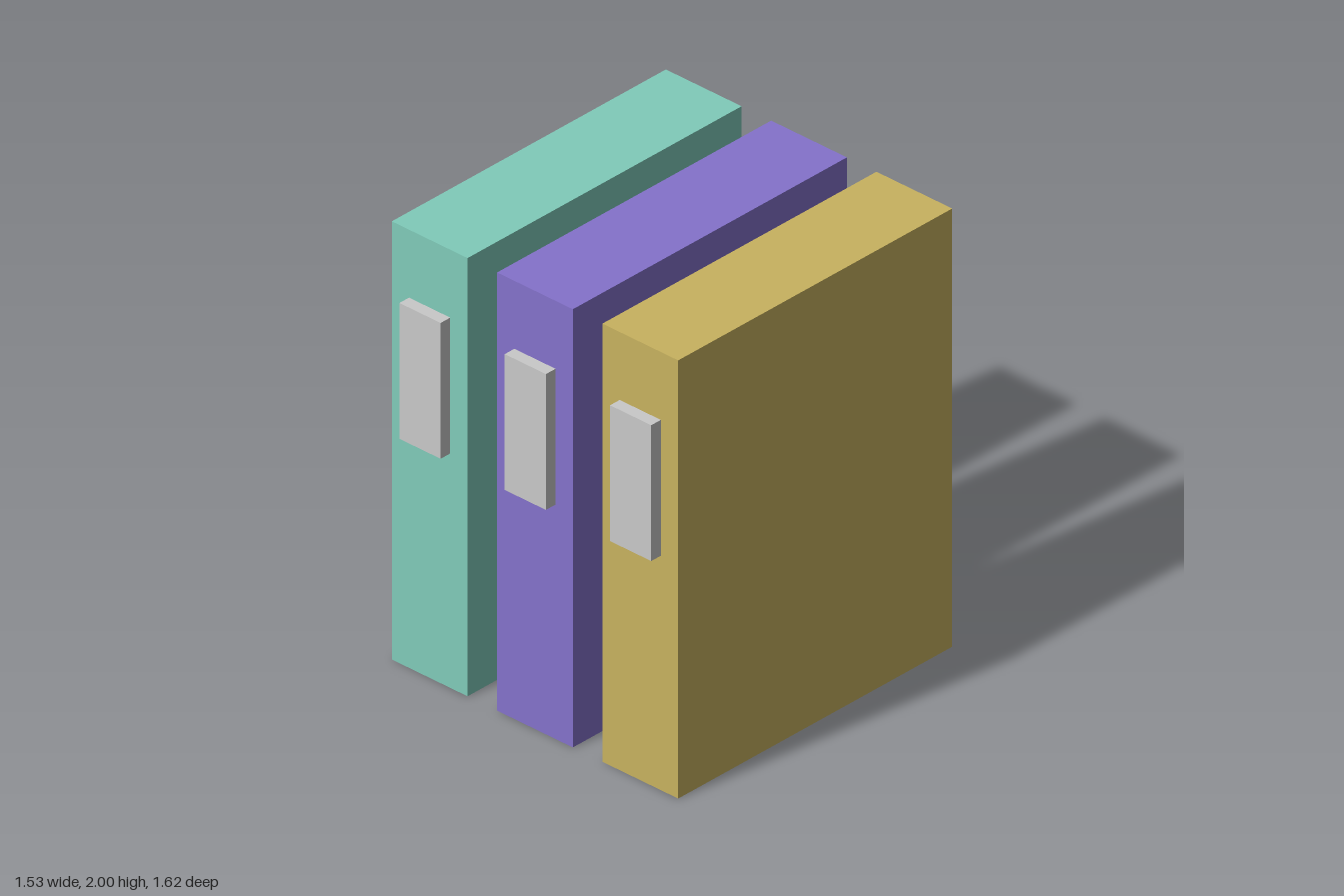
import * as THREE from 'three';

const BACK = -0.81, SPINE = 0.755, FRONT = 0.81;

export function createModel() {
  const model = new THREE.Group();
  model.name = 'binders';

  const paint = (name, color) => {
    const material = new THREE.MeshStandardMaterial({ color });
    material.name = name;
    return material;
  };
  const labelGrey = paint('label grey', 0xc9c9c9);
  const covers = [
    paint('mint green', 0x80cbba),
    paint('violet', 0x8472cb),
    paint('ochre', 0xc8b25f),
  ];

  const binderGeometry = new THREE.BoxGeometry(0.405, 2, SPINE - BACK);
  const labelGeometry = new THREE.BoxGeometry(0.22, 0.62, FRONT - SPINE);

  // Three upright binders in a row, each with a raised label on its spine
  covers.forEach((cover, i) => {
    const binder = new THREE.Group();
    binder.name = `binder${i + 1}`;
    binder.position.x = (i - 1) * 0.563;

    const body = new THREE.Mesh(binderGeometry, cover);
    body.name = 'binderBody';
    body.position.set(0, 1, (BACK + SPINE) / 2);

    const label = new THREE.Mesh(labelGeometry, labelGrey);
    label.name = 'spineLabel';
    label.position.set(0, 1.38, (SPINE + FRONT) / 2);

    binder.add(body, label);
    model.add(binder);
  });

  return model;
}
